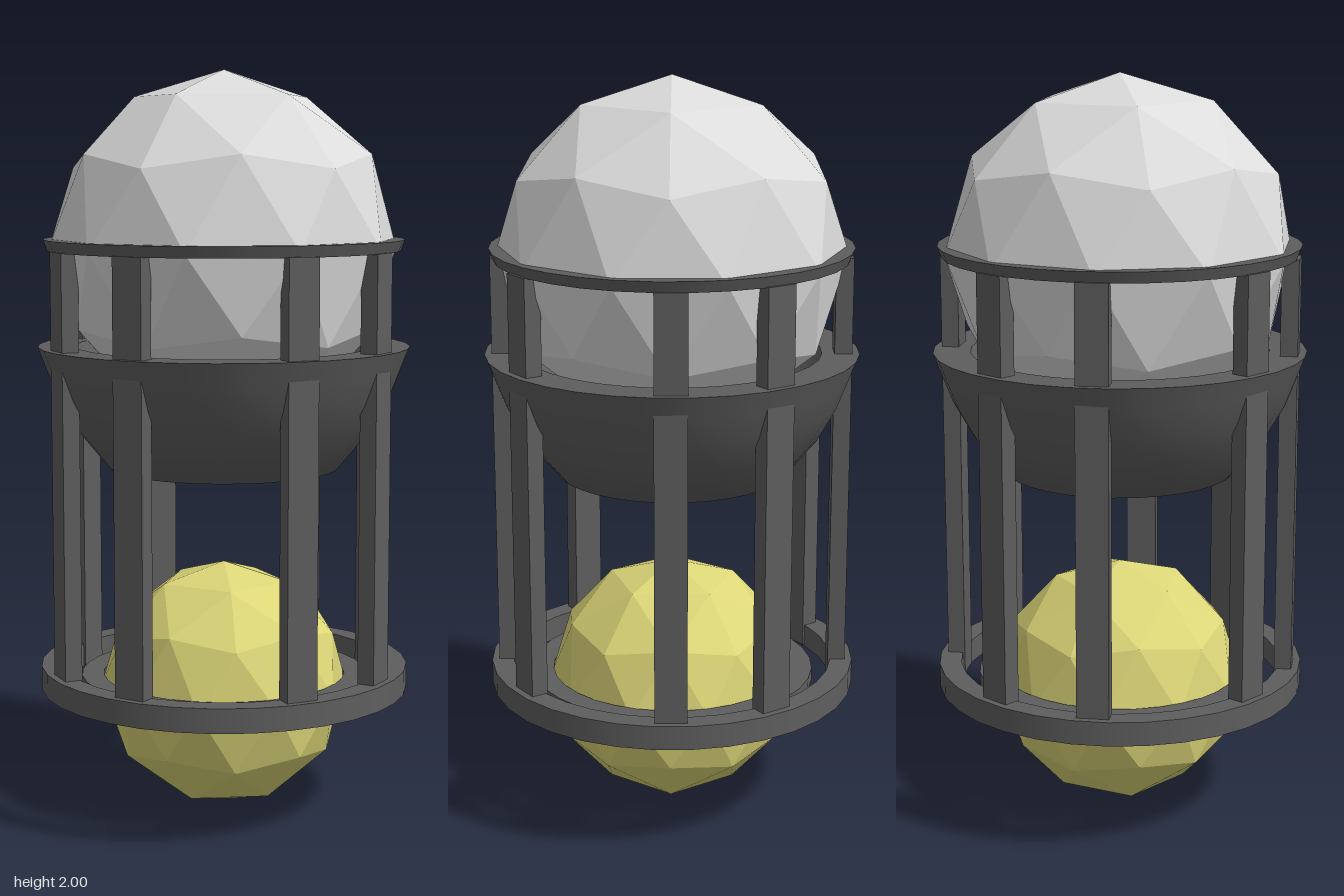
import * as THREE from 'three';

const SEGMENTS = 32;

// Faceted ball with a vertex straight up and a five-fold axis on y
function facetedBall(name, radius, y, turn, material) {
  const geo = new THREE.IcosahedronGeometry(radius, 1);
  geo.rotateZ(-Math.atan(2 / (1 + Math.sqrt(5))));
  geo.rotateY(turn);
  geo.computeVertexNormals();
  const mesh = new THREE.Mesh(geo, material);
  mesh.name = name;
  mesh.position.y = y;
  return mesh;
}

// Closed turned part: each smooth run of the profile starts where the last one ended
function turned(name, runs, material) {
  const points = runs.flat().map(([r, y]) => new THREE.Vector2(r, y));
  const mesh = new THREE.Mesh(new THREE.LatheGeometry(points, SEGMENTS), material);
  mesh.name = name;
  return mesh;
}

// Sharp-edged ring; the outer wall may flare towards the top
function ring(name, inner, outerLow, outerHigh, low, high, material) {
  return turned(name, [
    [[outerLow, low], [outerHigh, high]],
    [[outerHigh, high], [inner, high]],
    [[inner, high], [inner, low]],
    [[inner, low], [outerLow, low]],
  ], material);
}

export function createModel() {
  const paleGrey = new THREE.MeshStandardMaterial({ color: 0xdcdcdc });
  paleGrey.name = 'paleGrey';
  const yellow = new THREE.MeshStandardMaterial({ color: 0xdcd678 });
  yellow.name = 'yellow';
  const darkGrey = new THREE.MeshStandardMaterial({ color: 0x5e5e5e });
  darkGrey.name = 'darkGrey';

  const model = new THREE.Group();
  model.name = 'globeLantern';

  // Two faceted globes, turned opposite ways
  model.add(facetedBall('upperGlobe', 0.466, 1.534, 0, paleGrey));
  model.add(facetedBall('lowerGlobe', 0.337, 0.341, Math.PI, yellow));

  // Rings around the globes
  model.add(ring('topRing', 0.44, 0.472, 0.483, 1.525, 1.555, darkGrey));
  model.add(ring('baseRing', 0.44, 0.5, 0.5, 0.335, 0.4, darkGrey));
  model.add(ring('innerBaseRing', 0.33, 0.39, 0.39, 0.335, 0.37, darkGrey));

  // Bowl with a flared rim and a hollow, open underside
  model.add(turned('bowl', [
    [[0.15, 1.05], [0.17, 1.0], [0.23, 0.955], [0.31, 0.94], [0.4, 1.05], [0.45, 1.14], [0.477, 1.21], [0.5, 1.27]],
    [[0.5, 1.27], [0.4, 1.27]],
    [[0.4, 1.27], [0.36, 1.2], [0.27, 1.12], [0.15, 1.05]],
  ], darkGrey));

  // Eight posts, a pair on each side
  const posts = new THREE.Group();
  posts.name = 'posts';
  const postGeo = new THREE.BoxGeometry(0.085, 1.187, 0.047);
  postGeo.translate(0, 0.34 + 1.187 / 2, 0.455);
  for (let side = 0; side < 4; side++) {
    for (const sign of [-1, 1]) {
      const post = new THREE.Mesh(postGeo, darkGrey);
      post.name = 'post';
      post.rotation.y = side * Math.PI / 2 + sign * THREE.MathUtils.degToRad(17.5);
      posts.add(post);
    }
  }
  model.add(posts);

  return model;
}
